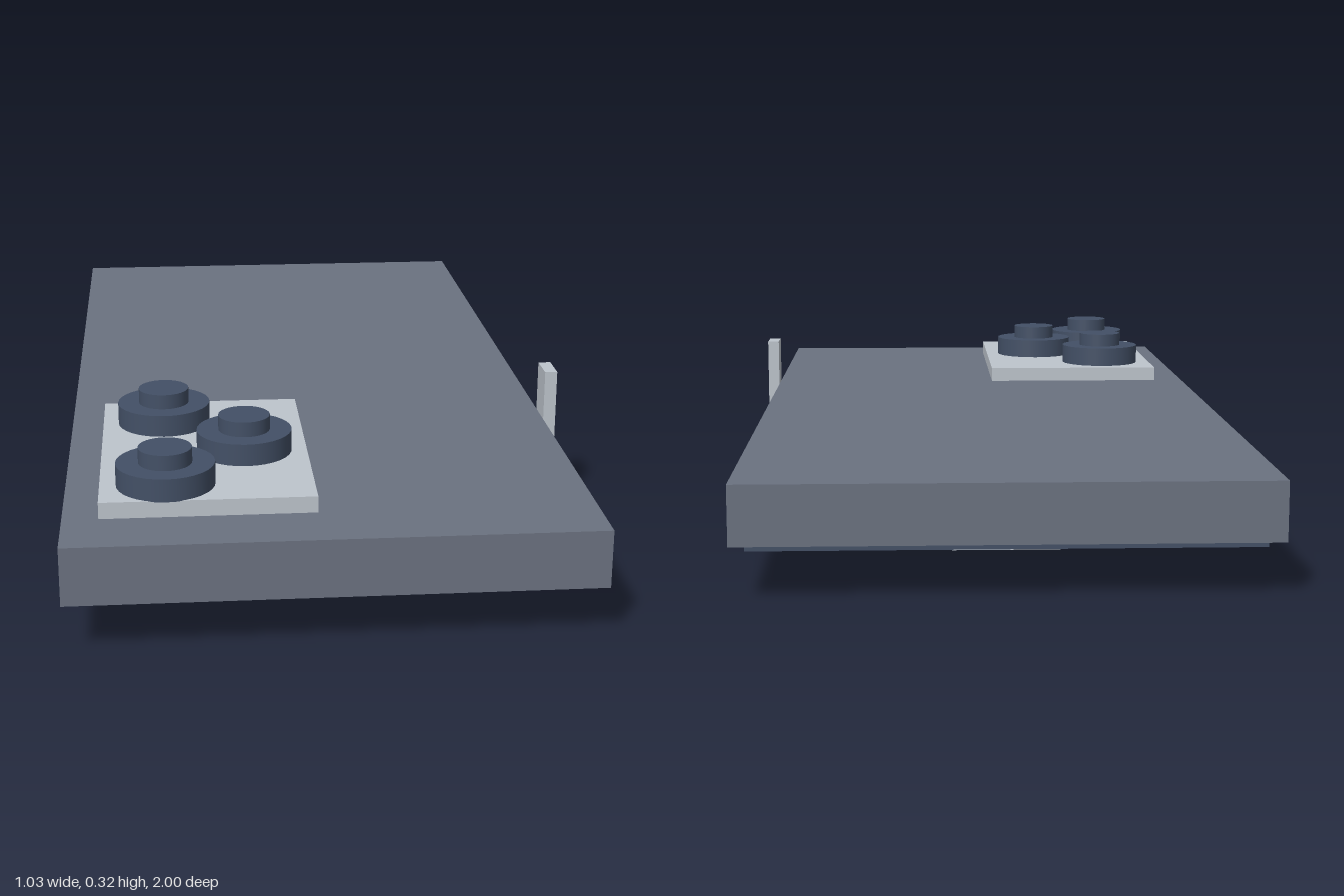
import * as THREE from 'three';

const material = (name, color) => {
  const m = new THREE.MeshStandardMaterial({ color });
  m.name = name;
  return m;
};

export function createModel() {
  const model = new THREE.Group();
  model.name = 'phone';
  const grey = material('slate grey', 0x6b7280);
  const dark = material('dark slate', 0x435066);
  const light = material('light grey', 0xbec5cd);
  const purple = material('screen purple', 0x9b67b8);
  const blue = material('panel blue', 0x2f90d2);
  const cyan = material('button cyan', 0x5fbccb);

  // Box given by its limits on each axis
  const box = (name, mat, [x0, x1], [y0, y1], [z0, z1]) => {
    const mesh = new THREE.Mesh(new THREE.BoxGeometry(x1 - x0, y1 - y0, z1 - z0), mat);
    mesh.position.set((x0 + x1) / 2, (y0 + y1) / 2, (z0 + z1) / 2);
    mesh.name = name;
    model.add(mesh);
  };
  // Upright disc between two heights
  const disc = (name, mat, r, x, z, y0, y1) => {
    const mesh = new THREE.Mesh(new THREE.CylinderGeometry(r, r, y1 - y0, 32), mat);
    mesh.position.set(x, (y0 + y1) / 2, z);
    mesh.name = name;
    model.add(mesh);
  };

  // Body lying face down, with bezel and screen beneath
  box('body', grey, [-0.515, 0.485], [0.101, 0.214], [-1, 1]);
  box('bezel', dark, [-0.49, 0.46], [0.083, 0.098], [-0.957, 0.957]);
  box('screen', purple, [-0.45, 0.42], [0.077, 0.083], [-0.885, 0.885]);

  // Screen contents
  box('panel', blue, [-0.423, 0.392], [0.069, 0.076], [-0.057, 0.572]);
  box('screenButton', cyan, [-0.395, 0.208], [0.055, 0.068], [0.375, 0.455]);
  for (const z of [0.196, 0.04, -0.116, -0.274]) {
    box('textBar', dark, [-0.348, 0.318], [0.061, 0.07], [z - 0.029, z + 0.029]);
  }
  box('homeBar', light, [-0.115, 0.085], [0.066, 0.074], [-0.89, -0.85]);
  disc('frontCamera', dark, 0.024, -0.015, 0.864, 0.051, 0.065);

  // Rear camera plate and its three lenses
  box('cameraPlate', light, [-0.447, -0.041], [0.212, 0.246], [0.302, 0.87]);
  for (const [x, z] of [[-0.322, 0.427], [-0.165, 0.608], [-0.322, 0.781]]) {
    disc('lensRing', dark, 0.094, x, z, 0.245, 0.29);
    disc('lens', dark, 0.051, x, z, 0.289, 0.32);
  }

  // Side key standing beside the body
  box('sideKey', light, [0.488, 0.514], [0, 0.315], [0.303, 0.373]);
  return model;
}
